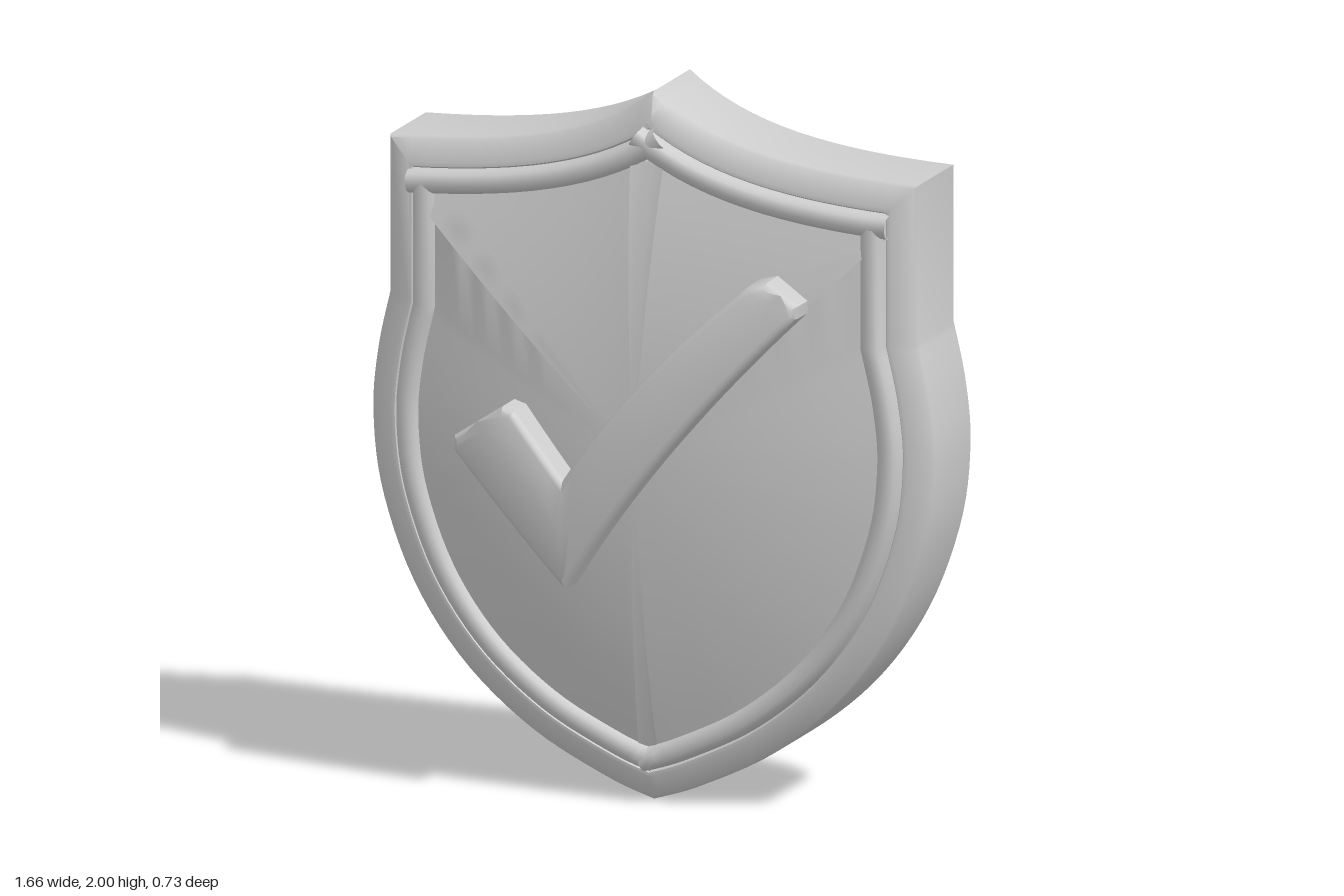
import * as THREE from 'three';
import { toCreasedNormals } from 'three/addons/utils/BufferGeometryUtils.js';

const V2 = (x, y) => new THREE.Vector2(x, y);
const mat = new THREE.MeshStandardMaterial({ color: 0xcccccc });

// Shield outline, clockwise from the top point, mirrored across x = 0
function shieldOutline() {
  const top = new THREE.CubicBezierCurve(V2(0, 2), V2(0.17, 1.86), V2(0.42, 1.815), V2(0.78, 1.805));
  const lower = new THREE.SplineCurve([
    V2(0.78, 1.36), V2(0.815, 1.2), V2(0.83, 1.02), V2(0.803, 0.8), V2(0.71, 0.55),
    V2(0.56, 0.335), V2(0.36, 0.165), V2(0.14, 0.05), V2(0, 0),
  ]);
  const half = [...top.getPoints(16), ...lower.getPoints(44)];
  const mirrored = half.slice(1, -1).reverse().map((p) => V2(-p.x, p.y));
  return [...half, ...mirrored];
}

// Move every point of a clockwise outline inwards by d, with mitred corners
function inset(points, d) {
  const n = points.length;
  return points.map((p, i) => {
    const a = p.clone().sub(points[(i + n - 1) % n]).normalize();
    const b = points[(i + 1) % n].clone().sub(p).normalize();
    const na = V2(-a.y, a.x), nb = V2(-b.y, b.x);
    const m = na.clone().add(nb).normalize();
    return p.clone().addScaledVector(m, -d / m.dot(na));
  });
}

// Skin a list of closed rings, each an array of Vector3
function skin(rings, crease) {
  const n = rings[0].length, pos = [], index = [];
  rings.forEach((r) => r.forEach((p) => pos.push(p.x, p.y, p.z)));
  for (let j = 0; j < rings.length - 1; j++) {
    for (let i = 0; i < n; i++) {
      const k = (i + 1) % n;
      const a = j * n + i, c = j * n + k, b = a + n, d = c + n;
      index.push(a, b, c, b, d, c);
    }
  }
  const g = new THREE.BufferGeometry();
  g.setAttribute('position', new THREE.Float32BufferAttribute(pos, 3));
  g.setIndex(index);
  return toCreasedNormals(g, crease);
}

function add(parent, name, geometry) {
  const mesh = new THREE.Mesh(geometry, mat);
  mesh.name = name;
  parent.add(mesh);
  return mesh;
}

// One long edge of the tick: blunt tip, straight short arm, curved long arm, blunt tip
function tickEdge(tip, shoulder, corner, control, end, endTip) {
  const shortArm = new THREE.LineCurve(shoulder, corner).getPoints(8);
  const longArm = new THREE.QuadraticBezierCurve(corner, control, end).getPoints(20);
  return [tip, ...shortArm, ...longArm.slice(1), endTip];
}

// Raised tick: bevelled walls closing onto a spine, with a gently domed front
function tickGeometry() {
  const upper = tickEdge(V2(-0.365, 1.122), V2(-0.328, 1.113), V2(-0.18, 0.935),
    V2(0.04, 1.26), V2(0.35, 1.522), V2(0.4, 1.534));
  const lower = tickEdge(V2(-0.515, 1.022), V2(-0.518, 0.984), V2(-0.18, 0.62),
    V2(0.1, 1.05), V2(0.488, 1.438), V2(0.492, 1.475));
  const outline = [...upper, ...lower.slice().reverse()];
  const spine = upper.map((p, i) => p.clone().lerp(lower[i], 0.5));
  const raise = (points, drop) => points.map((p) => new THREE.Vector3(p.x, p.y,
    0.365 - drop - 0.15 * p.x ** 2 - 0.14 * (p.y - 1) ** 2));
  return skin([
    outline.map((p) => new THREE.Vector3(p.x, p.y, 0.14)),
    raise(outline, 0.025),
    raise(inset(outline, 0.003), 0.014),
    raise(inset(outline, 0.01), 0.005),
    raise(inset(outline, 0.02), 0),
    raise([...spine, ...spine.slice().reverse()], 0),
  ], 0.6);
}

export function createModel() {
  const group = new THREE.Group();
  group.name = 'shield';
  const outline = shieldOutline();

  // Frame: bevelled rim with a rounded bead on front and back
  const profile = [
    [0.15, -0.15], [0.142, -0.162], [0.13, -0.167], [0.105, -0.167], [0.095, -0.162],
    [0.09, -0.145], [0.08, -0.145], [0.076, -0.152], [0.012, -0.152], [0.003, -0.148],
    [0, -0.138], [0, 0.12], [0.006, 0.13], [0.066, 0.157], [0.078, 0.157], [0.083, 0.148],
    [0.088, 0.17], [0.096, 0.184], [0.108, 0.19], [0.126, 0.19], [0.14, 0.184],
    [0.149, 0.172], [0.152, 0.15], [0.15, -0.15],
  ];
  const frameRings = profile.map(([d, z]) =>
    inset(outline, d).map((p) => new THREE.Vector3(p.x, p.y, z)));
  add(group, 'frame', skin(frameRings, 0.7));

  // Panel: domed front and flat recessed back, both shrinking to the centre
  const edge = inset(outline, 0.146);
  const disc = (t, z) => edge.map((p) => new THREE.Vector3(p.x * t, 1 + (p.y - 1) * t, z));
  const dome = [];
  for (let k = 0; k <= 14; k++) {
    const t = 1 - k / 14;
    dome.push(disc(t, 0.162 + 0.108 * (1 - t * t)));
  }
  add(group, 'frontPanel', skin(dome, 0.6));
  add(group, 'backPanel', skin([disc(0, 0.03), disc(0.5, 0.03), disc(1, 0.03)], 0.6));

  add(group, 'tick', tickGeometry());

  // Two curved grips, each with a central strut and flared feet
  const path = new THREE.CatmullRomCurve3([
    [1.4, 0.05], [1.385, -0.07], [1.32, -0.165], [1.18, -0.24], [1, -0.268],
    [0.82, -0.24], [0.68, -0.165], [0.615, -0.07], [0.6, 0.05],
  ].map(([y, z]) => new THREE.Vector3(0, y, z)));
  const foot = (r) => new THREE.LatheGeometry(
    [V2(r + 0.018, 0), V2(r + 0.008, 0.015), V2(r + 0.003, 0.035), V2(r, 0.06)], 24)
    .rotateX(-Math.PI / 2);
  for (const side of [-1, 1]) {
    const handle = new THREE.Group();
    handle.name = side > 0 ? 'leftHandle' : 'rightHandle';
    handle.position.x = 0.4 * side;
    add(handle, 'grip', new THREE.TubeGeometry(path, 48, 0.097, 24));
    add(handle, 'strut', new THREE.CylinderGeometry(0.055, 0.055, 0.28, 24).rotateX(Math.PI / 2))
      .position.set(0, 1, -0.1);
    for (const [y, r] of [[1.4, 0.096], [1, 0.054], [0.6, 0.096]]) {
      add(handle, 'foot', foot(r)).position.set(0, y, 0.031);
    }
    group.add(handle);
  }
  return group;
}
